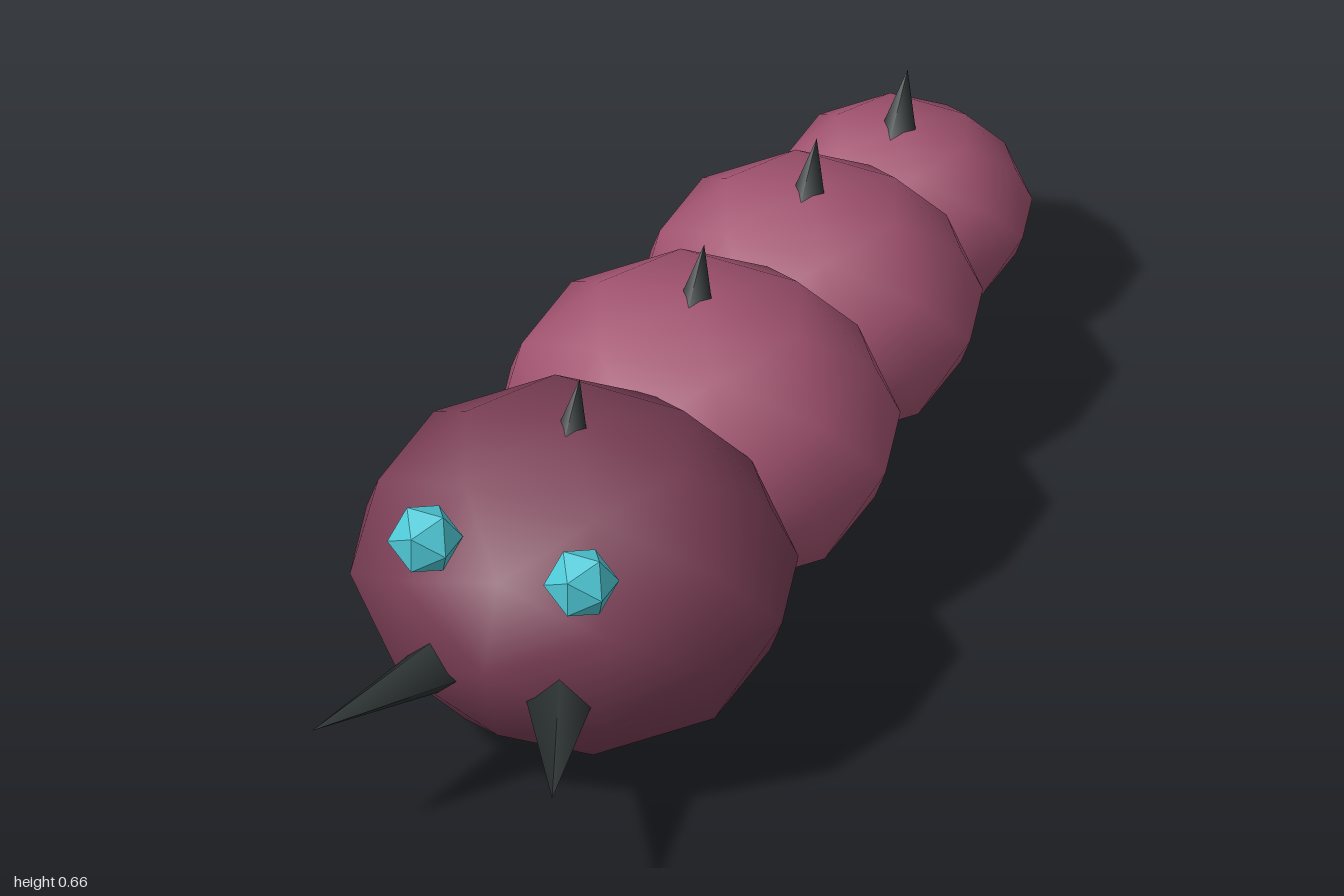
import * as THREE from 'three';

const material = (name, color) => {
  const m = new THREE.MeshStandardMaterial({ color });
  m.name = name;
  return m;
};

export function createModel() {
  const model = new THREE.Group();
  model.name = 'segmentedGrub';

  const headSkin = material('dark plum', 0x7a3e55);
  const bodySkin = material('rose plum', 0xa0526e);
  const horn = material('black horn', 0x2a3030);
  const eyeBlue = material('turquoise', 0x4fc8d6);

  const add = (name, geometry, mat, x, y, z) => {
    const mesh = new THREE.Mesh(geometry, mat);
    mesh.name = name;
    mesh.position.set(x, y, z);
    model.add(mesh);
    return mesh;
  };

  // Body: four smooth, flattened balls; each has one back spike leaning to the rear
  const ball = new THREE.IcosahedronGeometry(1, 1);
  const spikeLength = 0.12, spikeLean = -0.3;
  const spike = new THREE.ConeGeometry(0.035, spikeLength, 4);
  spike.translate(0, -spikeLength / 2, 0); // origin at the tip
  const segments = [
    // name, radius, centre y, centre z, spike tip y, spike tip z
    ['head', 0.346, 0.297, 0.455, 0.663, 0.434],
    ['frontSegment', 0.312, 0.28, -0.02, 0.624, -0.043],
    ['middleSegment', 0.266, 0.251, -0.45, 0.557, -0.474],
    ['tailSegment', 0.202, 0.21, -0.798, 0.469, -0.822],
  ];
  segments.forEach(([name, r, y, z, tipY, tipZ], i) => {
    add(name, ball, i ? bodySkin : headSkin, 0, y, z).scale.set(1.1 * r, 0.85 * r, r);
    add(name + 'Spike', spike, horn, 0, tipY, tipZ).rotation.x = spikeLean;
  });

  // Face: faceted eyes and outward-pointing mandibles, mirrored
  const eye = new THREE.IcosahedronGeometry(0.063, 0);
  const mandible = new THREE.ConeGeometry(0.061, 0.3, 4);
  mandible.translate(0, -0.15, 0).rotateX(Math.PI / 2); // tip at origin, facing +z
  for (const [side, s] of [['left', 1], ['right', -1]]) {
    add(side + 'Eye', eye, eyeBlue, s * 0.143, 0.484, 0.727);
    add(side + 'Mandible', mandible, horn, s * 0.22, 0.247, 1).rotation.y = s * 0.4;
  }

  return model;
}
